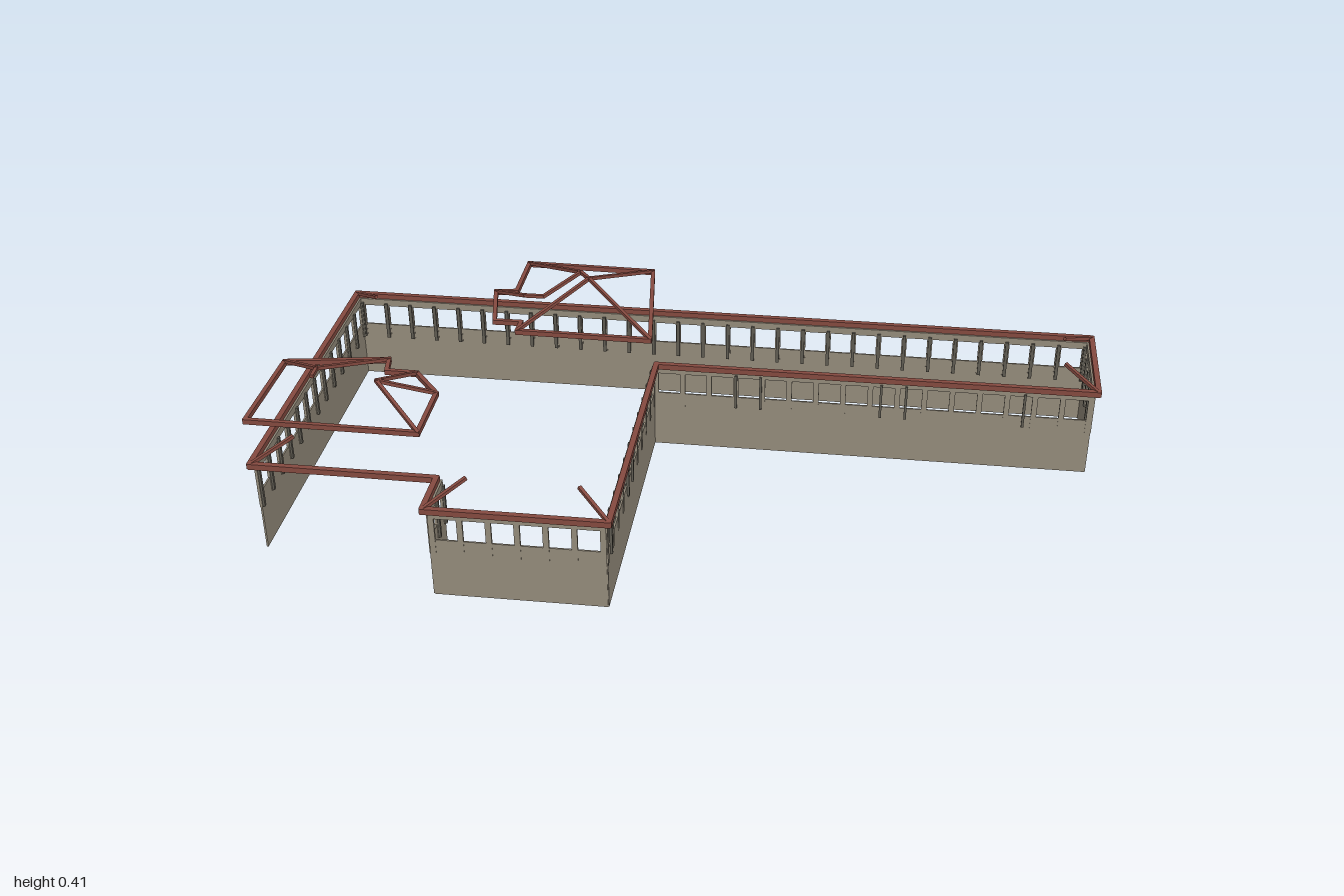
import * as THREE from 'three';

const mat = (name, color) => Object.assign(new THREE.MeshStandardMaterial({ color }), { name });

export function createModel() {
  const model = new THREE.Group();
  model.name = 'buildingShell';
  const wallMat = mat('stoneWall', 0x958c7c);
  const frameMat = mat('darkFrame', 0x5f5b52);
  const trimMat = mat('redBrownTrim', 0x854a40);

  const V = (x, y, z) => new THREE.Vector3(x, y, z);

  function box(parent, name, material, w, h, d, x, y, z) {
    const m = new THREE.Mesh(new THREE.BoxGeometry(w, h, d), material);
    m.name = name;
    m.position.set(x, y, z);
    parent.add(m);
    return m;
  }

  // Rectangular bar running from a to b, extended slightly at its ends
  function beam(parent, name, a, b, w, h, extra = 0) {
    const m = box(parent, name, trimMat, w, h, a.distanceTo(b) + extra, 0, 0, 0);
    m.position.copy(a).lerp(b, 0.5);
    m.lookAt(b);
    return m;
  }

  // Closed ring of horizontal bars
  function ring(parent, name, pts, y, w, h) {
    pts.forEach((p, i) => {
      const q = pts[(i + 1) % pts.length];
      beam(parent, name, V(p[0], y, p[1]), V(q[0], y, q[1]), w, h, w * 0.7);
    });
  }

  // Eave corners, clockwise from the back right corner
  const eave = [[-0.86, -0.53], [0.99, -0.217], [0.945, 0.045], [-0.092, -0.13],
    [-0.205, 0.525], [-0.6, 0.46], [-0.58, 0.342], [-0.995, 0.272]];
  const n = eave.length;
  const normals = eave.map((p, i) => {
    const q = eave[(i + 1) % n];
    const l = Math.hypot(q[0] - p[0], q[1] - p[1]);
    return [-(q[1] - p[1]) / l, (q[0] - p[0]) / l];
  });
  const inset = 0.008;
  const corners = eave.map((p, i) => {
    const a = normals[i], b = normals[(i + n - 1) % n];
    return [p[0] + inset * (a[0] + b[0]), p[1] + inset * (a[1] + b[1])];
  });

  // Walls with a window band; one side is left open
  const openSide = 6;
  const outerPosts = { 1: [0.035], 2: [0.16, 0.44, 0.5, 0.79, 0.85], 3: [0.35, 0.41, 0.63] };
  corners.forEach((p, i) => {
    if (i === openSide) return;
    const q = corners[(i + 1) % n];
    const dx = q[0] - p[0], dz = q[1] - p[1];
    const L = Math.hypot(dx, dz);
    const side = new THREE.Group();
    side.name = 'wallSide' + (i + 1);
    side.position.set(p[0], 0, p[1]);
    side.rotation.y = -Math.atan2(dz, dx);
    model.add(side);
    box(side, 'lowerWall', wallMat, L, 0.146, 0.004, L / 2, 0.073, 0);
    box(side, 'lintel', wallMat, L, 0.018, 0.006, L / 2, 0.21, 0);
    // Window posts: wall face outside, dark mullion hanging inside
    const count = Math.max(2, Math.round(L / 0.065));
    for (let k = 0; k <= count; k++) {
      const x = 0.006 + (L - 0.012) * k / count;
      box(side, 'windowPost', wallMat, 0.013, 0.098, 0.006, x, 0.159, 0);
      box(side, 'mullion', frameMat, 0.008, 0.098, 0.006, x, 0.159, 0.005);
    }
    for (const x of outerPosts[i] || []) {
      box(side, 'outerPost', frameMat, 0.006, 0.09, 0.006, x, 0.163, -0.004);
    }
  });

  // Eave trim
  ring(model, 'eaveTrim', eave, 0.225, 0.013, 0.014);

  // Short hip rafters at the outer corners
  const rafters = { 0: [-0.797, -0.44], 1: [0.905, -0.155], 2: [0.88, -0.035],
    4: [-0.267, 0.44], 5: [-0.51, 0.395], 7: [-0.905, 0.213] };
  for (const [i, e] of Object.entries(rafters)) {
    beam(model, 'hipRafter', V(eave[i][0], 0.228, eave[i][1]), V(e[0], 0.262, e[1]), 0.008, 0.008);
  }

  // Raised roof frame: base ring plus hips and ridges
  function roofFrame(name, base, bars) {
    const g = new THREE.Group();
    g.name = name;
    ring(g, 'roofEdge', base, 0.341, 0.01, 0.012);
    for (const [a, b] of bars) beam(g, 'roofBar', V(...a), V(...b), 0.008, 0.008, 0.004);
    model.add(g);
  }
  const y0 = 0.344;
  const peakA = [-0.27, 0.41, -0.27], peakB = [-0.25, 0.41, -0.235];
  const valley = [-0.36, 0.377, -0.21], gable = [-0.405, 0.377, -0.217];
  roofFrame('backRoofFrame',
    [[-0.405, -0.455], [-0.093, -0.397], [-0.107, -0.048], [-0.42, -0.103],
      [-0.412, -0.145], [-0.476, -0.155], [-0.481, -0.305], [-0.43, -0.305]],
    [[[-0.405, y0, -0.455], peakA], [[-0.093, y0, -0.397], peakB], [[-0.107, y0, -0.048], peakB],
      [[-0.42, y0, -0.103], peakB], [peakA, peakB], [peakA, valley], [valley, gable],
      [[-0.481, y0, -0.305], gable]]);

  const top1 = [-0.85, 0.393, 0.14], top2 = [-0.855, 0.393, 0.175], top3 = [-0.711, 0.393, 0.2];
  roofFrame('frontRoofFrame',
    [[-0.945, 0.02], [-0.707, 0.02], [-0.707, 0.072], [-0.637, 0.085],
      [-0.586, 0.176], [-0.612, 0.338], [-0.99, 0.272]],
    [[[-0.945, y0, 0.02], top1], [[-0.707, y0, 0.02], top1], [top1, top2],
      [[-0.637, y0, 0.085], top3], [[-0.586, y0, 0.176], top3], [[-0.612, y0, 0.338], top3]]);

  return model;
}
